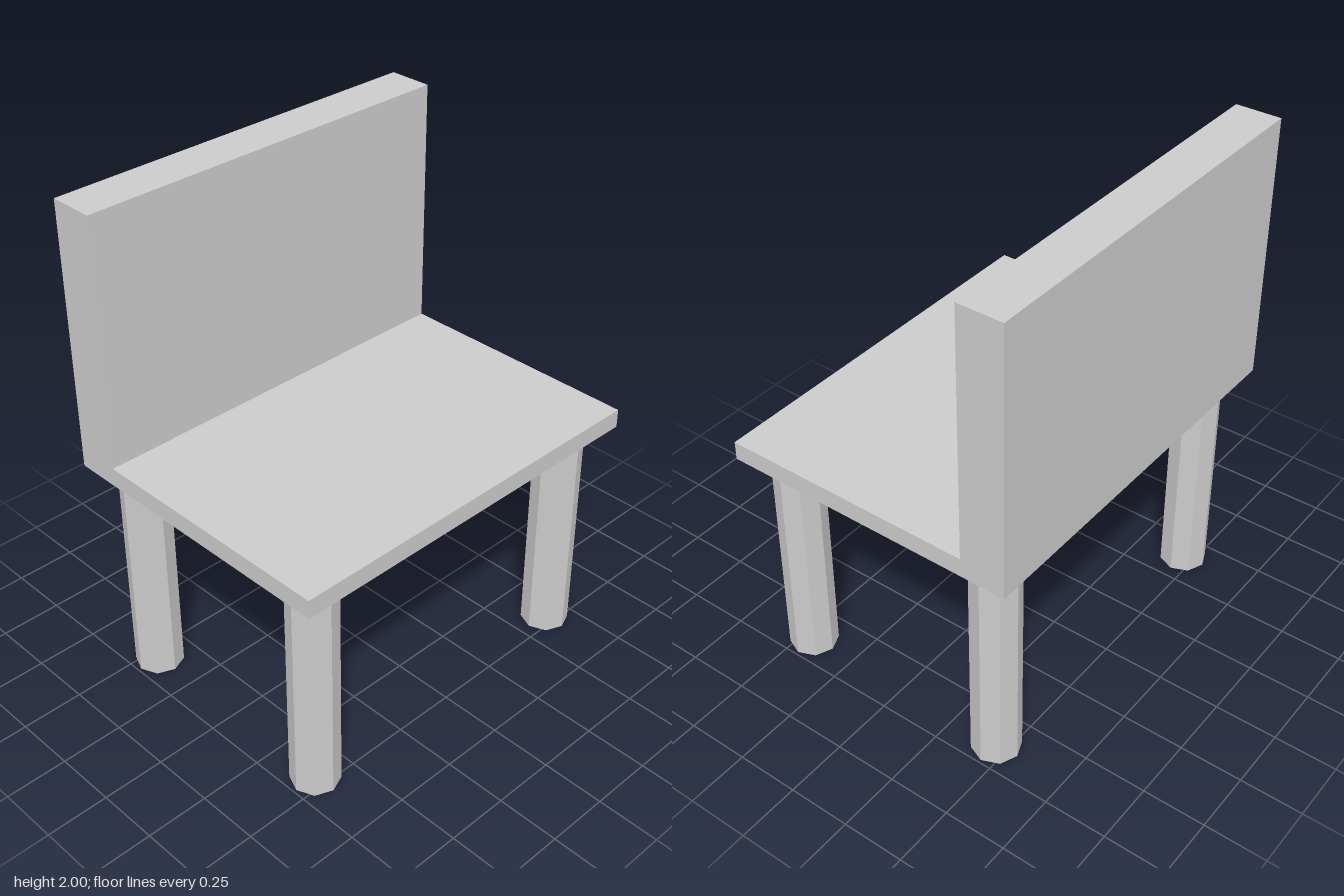
import * as THREE from 'three';

const WIDTH = 1.59, HALF_DEPTH = 0.6;
const SEAT_BOTTOM = 0.93, SEAT_TOP = 1.005, BACK_FRONT = -0.42;

export function createModel() {
  const model = new THREE.Group();
  model.name = 'chair';
  const material = new THREE.MeshStandardMaterial({ color: 0xcccccc, flatShading: true });

  // Seat and backrest: one L-shaped side profile (drawn as -z, y), extruded across the width
  const profile = new THREE.Shape([
    [-HALF_DEPTH, SEAT_BOTTOM], [HALF_DEPTH, SEAT_BOTTOM], [HALF_DEPTH, 2],
    [-BACK_FRONT, 2], [-BACK_FRONT, SEAT_TOP], [-HALF_DEPTH, SEAT_TOP],
  ].map(([u, y]) => new THREE.Vector2(u, y)));
  const body = new THREE.ExtrudeGeometry(profile, { depth: WIDTH, bevelEnabled: false });
  body.translate(0, 0, -WIDTH / 2).rotateY(Math.PI / 2);
  const seat = new THREE.Mesh(body, material);
  seat.name = 'seatAndBackrest';
  model.add(seat);

  // Four octagonal legs
  const legGeometry = new THREE.CylinderGeometry(0.095, 0.095, SEAT_BOTTOM, 8);
  for (const [side, x] of [['Left', 0.643], ['Right', -0.643]]) {
    for (const [end, z] of [['front', 0.45], ['back', -0.45]]) {
      const leg = new THREE.Mesh(legGeometry, material);
      leg.name = `${end}${side}Leg`;
      leg.position.set(x, SEAT_BOTTOM / 2, z);
      model.add(leg);
    }
  }
  return model;
}
